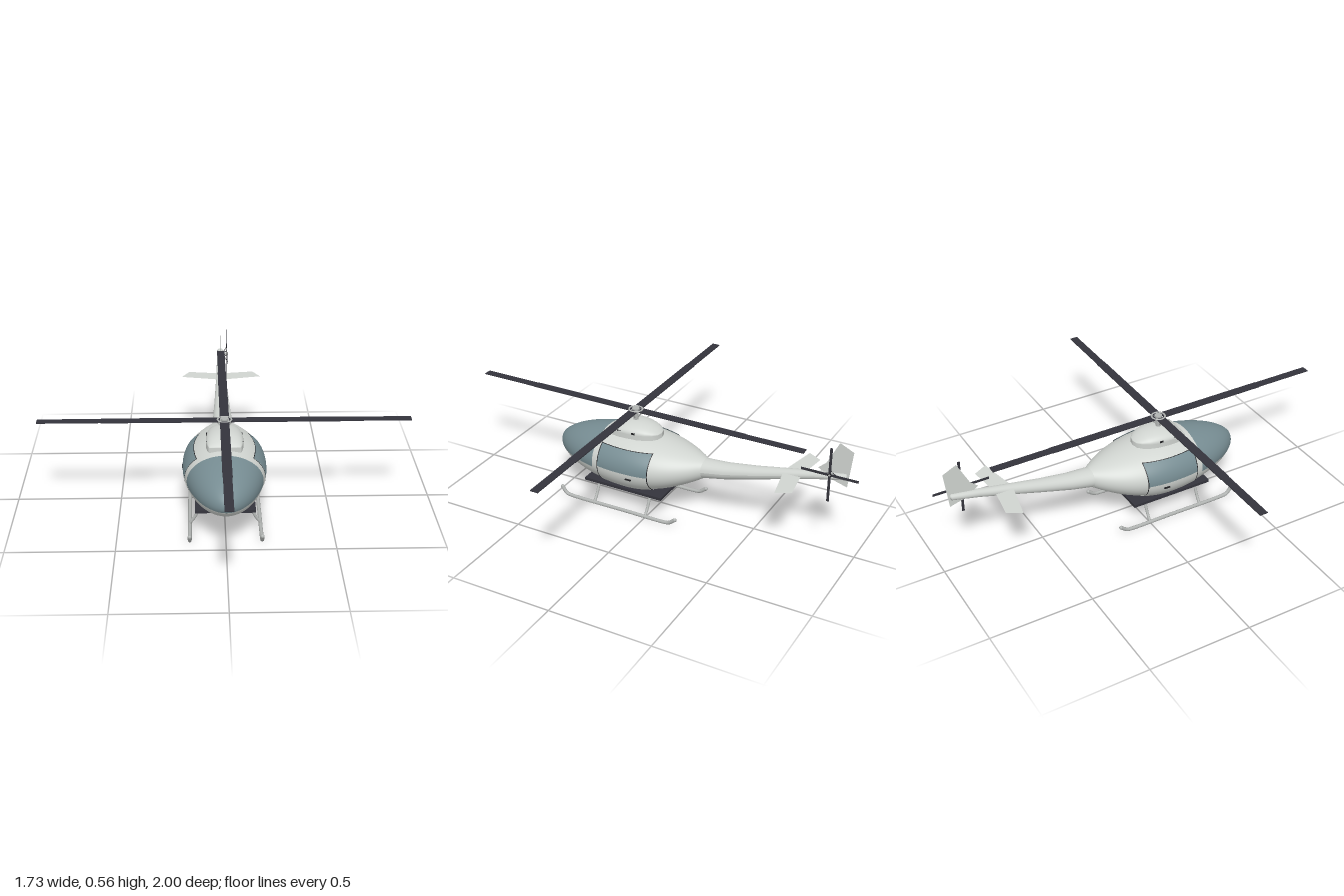
import * as THREE from 'three';

const mat = (name, color) => {
  const m = new THREE.MeshStandardMaterial({ color, side: THREE.DoubleSide });
  m.name = name;
  return m;
};

// Surface patch from a function f(u, v) -> [x, y, z]
function patch(f, nu, nv) {
  const pos = [], idx = [];
  for (let i = 0; i <= nu; i++) for (let j = 0; j <= nv; j++) pos.push(...f(i / nu, j / nv));
  for (let i = 0; i < nu; i++) for (let j = 0; j < nv; j++) {
    const a = i * (nv + 1) + j, b = a + nv + 1;
    idx.push(a, b, a + 1, b, b + 1, a + 1);
  }
  const g = new THREE.BufferGeometry();
  g.setAttribute('position', new THREE.Float32BufferAttribute(pos, 3));
  g.setIndex(idx);
  g.computeVertexNormals();
  return g;
}

// Cabin cross-section at a given z: half width, top, bottom, widest height
function section(z) {
  if (z > 0.12) {
    const k = Math.max(0, 1 - ((z - 0.12) / 0.43) ** 2);
    return { w: 0.193 * k ** 0.58, top: 0.233 + 0.142 * k ** 0.5, bot: 0.233 - 0.144 * k ** 0.58, cy: 0.233 };
  }
  const t = (0.12 - z) / 0.36;
  return { w: 0.193 - 0.14 * t ** 2.3, top: 0.375 - 0.07 * t ** 1.6, bot: 0.089 + 0.121 * t ** 1.8, cy: 0.233 + 0.025 * t * t };
}
function cabinPoint(z, a, off = 0) {
  const s = section(z), sn = Math.sin(a);
  const h = (sn > 0 ? s.top - s.cy : s.cy - s.bot) + off;
  return [(s.w + off) * Math.cos(a), s.cy + h * sn, z];
}
// Angle on the +x side at which the cabin reaches height y
function angleAt(z, y) {
  const s = section(z), h = y > s.cy ? s.top - s.cy : s.cy - s.bot;
  return Math.asin(THREE.MathUtils.clamp((y - s.cy) / Math.max(h, 1e-5), -1, 1));
}

export function createModel() {
  const root = new THREE.Group();
  root.name = 'helicopter';
  const paint = mat('paleGreyPaint', 0xd0d4d0);
  const glass = mat('tintedGlass', 0x768c92);
  const dark = mat('bladeCharcoal', 0x34343c);
  const black = mat('blackTrim', 0x1e1e21);
  const metal = mat('greyMetal', 0xb0b3b1);

  const add = (name, geo, m, x = 0, y = 0, z = 0, parent = root) => {
    const mesh = new THREE.Mesh(geo, m);
    mesh.name = name;
    mesh.position.set(x, y, z);
    parent.add(mesh);
    return mesh;
  };
  const tube = (pts, r, n = 16) => new THREE.TubeGeometry(
    new THREE.CatmullRomCurve3(pts.map(p => new THREE.Vector3(...p)), false, 'centripetal'), n, r, 10);
  const sheet = pts => new THREE.ShapeGeometry(new THREE.Shape(pts.map(p => new THREE.Vector2(...p))));

  // Cabin shell, with the windscreen as the upper nose
  const waist = 0.212, split = 0.28, TAU = Math.PI * 2;
  const noseZ = u => 0.55 - (0.55 - split) * u * u;
  add('cabin', patch((u, v) => cabinPoint(split - 0.52 * u, v * TAU - Math.PI / 2), 32, 64), paint);
  add('windscreen', patch((u, v) => {
    const z = noseZ(u), a = angleAt(z, waist);
    return cabinPoint(z, a + v * (Math.PI - 2 * a));
  }, 24, 40), glass);
  add('noseUnderside', patch((u, v) => {
    const z = noseZ(u), a = angleAt(z, waist);
    return cabinPoint(z, Math.PI - a + v * (Math.PI + 2 * a));
  }, 24, 40), paint);

  // Doors: painted panel and window inside a thin dark seam, with a handle
  const sidePatch = (s, z1, z0, y0, y1) => patch((u, v) => {
    const z = z1 + (z0 - z1) * u, lo = angleAt(z, y0), hi = angleAt(z, y1);
    const a = lo + (hi - lo) * (s > 0 ? v : 1 - v);
    return cabinPoint(z, s > 0 ? a : Math.PI - a, 0.004);
  }, 16, 16);
  const front = 0.244, rear = -0.019, low = 0.128, sill = 0.231, high = 0.329, seam = 0.004;
  for (const s of [1, -1]) {
    const door = new THREE.Group();
    door.name = s > 0 ? 'leftDoor' : 'rightDoor';
    root.add(door);
    add('doorPanel', sidePatch(s, front, rear, low, sill), paint, 0, 0, 0, door);
    add('doorWindow', sidePatch(s, front, rear, sill, high), glass, 0, 0, 0, door);
    for (const [z1, z0, y0, y1] of [[front + seam, front, low, high], [rear, rear - seam, low, high],
      [front + seam, rear - seam, low - seam / 2, low], [front + seam, rear - seam, high, high + seam / 2]])
      add('doorSeam', sidePatch(s, z1, z0, y0, y1), black, 0, 0, 0, door);
    add('doorHandle', new THREE.BoxGeometry(0.008, 0.005, 0.03), black, s * 0.196, 0.207, 0.07, door);
  }

  // Engine cowling: shallow dome on an upright skirt, sections [z, half width, top]
  const shoulder = 0.385;
  const cowl = [[0.242, 0.001, shoulder], [0.24, 0.072, 0.39], [0.22, 0.08, 0.405], [0.185, 0.086, 0.422], [0.14, 0.087, 0.428],
    [0.09, 0.082, 0.426], [0.05, 0.07, 0.417], [0.02, 0.052, 0.404], [0, 0.03, 0.391], [-0.006, 0.001, shoulder]];
  const cowlRow = u => cowl[Math.round(u * (cowl.length - 1))];
  add('cowlingDome', patch((u, v) => {
    const [z, w, top] = cowlRow(u), a = v * Math.PI;
    return [w * Math.cos(a), shoulder + (top - shoulder) * Math.sin(a), z];
  }, cowl.length - 1, 32), paint);
  for (const s of [1, -1]) {
    add('cowlingSkirt', patch((u, v) => {
      const [z, w] = cowlRow(u);
      return [s * w, 0.335 + (shoulder - 0.335) * (s > 0 ? v : 1 - v), z];
    }, cowl.length - 1, 1), paint);
    for (const z of [0.182, 0.105])
      add('cowlingVent', new THREE.BoxGeometry(0.008, 0.008, 0.018), black, s * 0.081, 0.39, z);
  }

  // Tail boom: round sections [z, centre height, half width, half height]
  const boom = [[-0.2, 0.257, 0.062, 0.047], [-0.24, 0.259, 0.054, 0.047], [-0.35, 0.274, 0.046, 0.04], [-0.5, 0.306, 0.036, 0.032],
    [-0.65, 0.342, 0.027, 0.026], [-0.8, 0.377, 0.02, 0.02], [-0.93, 0.402, 0.016, 0.015], [-0.935, 0.403, 0.001, 0.001]];
  add('tailBoom', patch((u, v) => {
    const [z, y, w, h] = boom[Math.round(u * (boom.length - 1))], a = v * TAU;
    return [w * Math.cos(a), y + h * Math.sin(a), z];
  }, boom.length - 1, 24), paint);

  // Tail fin and stabiliser
  add('tailFin', sheet([[0.797, 0.415], [0.835, 0.45], [0.89, 0.562], [0.957, 0.53], [0.938, 0.35], [0.87, 0.37]])
    .rotateY(Math.PI / 2), paint);
  add('stabiliser', sheet([[0, 0.635], [0.206, 0.677], [0.168, 0.745], [0, 0.722], [-0.168, 0.745], [-0.206, 0.677]])
    .rotateX(-Math.PI / 2), paint, 0, 0.355, 0);

  // Main rotor
  const rotor = new THREE.Group();
  rotor.name = 'mainRotor';
  rotor.position.set(0, 0.477, 0.135);
  root.add(rotor);
  add('mast', new THREE.CylinderGeometry(0.011, 0.014, 0.08, 16), metal, 0, -0.035, 0, rotor);
  add('hub', new THREE.CylinderGeometry(0.018, 0.018, 0.016, 20), metal, 0, 0, 0, rotor);
  add('hubRing', new THREE.TorusGeometry(0.032, 0.005, 8, 24).rotateX(Math.PI / 2), metal, 0, 0.001, 0, rotor);
  for (let i = 0; i < 4; i++) {
    const arm = new THREE.Group();
    arm.name = 'mainBlade';
    arm.rotation.y = i * Math.PI / 2;
    rotor.add(arm);
    add('innerBlade', new THREE.BoxGeometry(0.55, 0.005, 0.043), dark, 0.295, 0, 0, arm);
    add('outerBlade', new THREE.BoxGeometry(0.295, 0.004, 0.039), dark, 0.7175, 0, 0, arm);
    add('pitchLink', tube([[0.008, -0.04, 0], [0.036, -0.006, 0]], 0.004, 2), metal, 0, 0, 0, arm);
  }

  // Tail rotor on the left of the fin
  const tail = new THREE.Group();
  tail.name = 'tailRotor';
  tail.position.set(0.036, 0.412, -0.865);
  root.add(tail);
  add('tailShaft', new THREE.CylinderGeometry(0.005, 0.005, 0.04, 12).rotateZ(Math.PI / 2), metal, -0.015, 0, 0, tail);
  add('tailHub', new THREE.CylinderGeometry(0.009, 0.009, 0.006, 14).rotateZ(Math.PI / 2), black, 0, 0, 0, tail);
  for (let i = 0; i < 4; i++) {
    const arm = new THREE.Group();
    arm.name = 'tailBlade';
    arm.rotation.x = i * Math.PI / 2;
    tail.add(arm);
    add('blade', new THREE.BoxGeometry(0.002, 0.132, 0.012), dark, 0, 0.069, 0, arm);
    add('tailPitchLink', tube([[-0.022, 0.006, 0], [-0.001, 0.04, 0]], 0.0015, 2), black, 0, 0, 0, arm);
  }

  // Belly plate and landing skids
  add('bellyPlate', new THREE.BoxGeometry(0.28, 0.014, 0.42), dark, 0, 0.11, 0.135);
  for (const s of [1, -1]) {
    const x = s * 0.165;
    add('skid', tube([[x, 0.046, 0.462], [x, 0.028, 0.45], [x, 0.013, 0.435], [x, 0.009, 0.41], [x, 0.009, 0.1],
      [x, 0.009, -0.11], [x, 0.013, -0.132], [x, 0.036, -0.164]], 0.009, 60), metal);
    for (const [y, z] of [[0.046, 0.462], [0.036, -0.164]])
      add('skidTip', new THREE.SphereGeometry(0.0095, 12, 8), metal, x, y, z);
    for (const z of [0.277, -0.005])
      add('skidLeg', tube([[s * 0.08, 0.112, z], [s * 0.112, 0.1, z], [s * 0.13, 0.07, z], [s * 0.143, 0.045, z],
        [x, 0.015, z]], 0.007, 20), metal);
  }
  return root;
}
